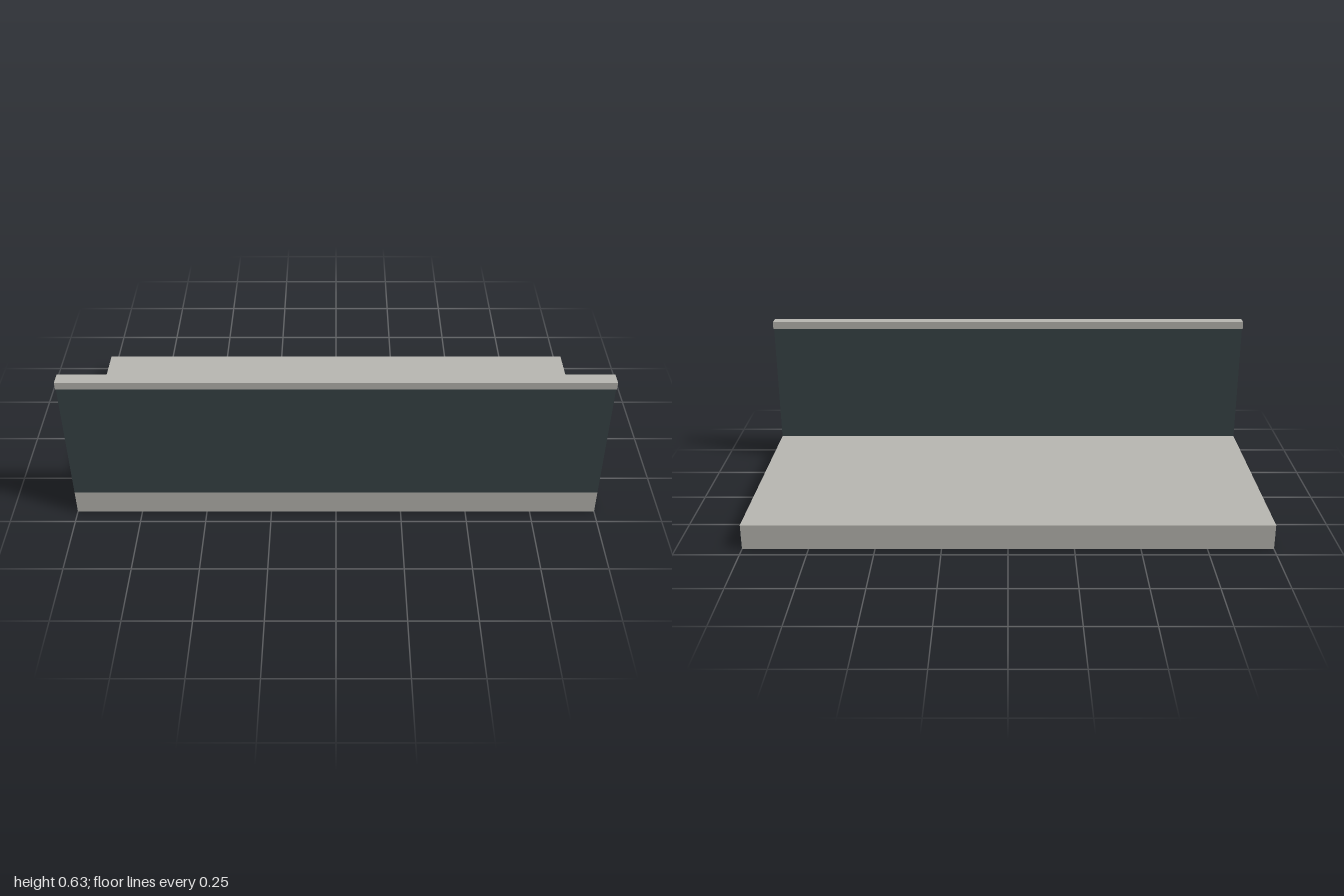
import * as THREE from 'three';

export function createModel() {
  const model = new THREE.Group();
  model.name = 'balcony';

  const concrete = new THREE.MeshStandardMaterial({ color: 0xb8b7b1 });
  concrete.name = 'concrete grey';
  const darkPanel = new THREE.MeshStandardMaterial({ color: 0x384347 });
  darkPanel.name = 'dark slate';

  // Full-width box spanning the given heights and depths
  function addSlab(name, y0, y1, z0, z1, material) {
    const mesh = new THREE.Mesh(new THREE.BoxGeometry(2, y1 - y0, z1 - z0), material);
    mesh.position.set(0, (y0 + y1) / 2, (z0 + z1) / 2);
    mesh.name = name;
    model.add(mesh);
  }

  addSlab('floorSlab', 0, 0.1, -0.455, 0.445, concrete);
  addSlab('parapetPanel', 0.1, 0.6, 0.42, 0.445, darkPanel);
  addSlab('handrail', 0.6, 0.63, 0.405, 0.455, concrete);

  return model;
}
